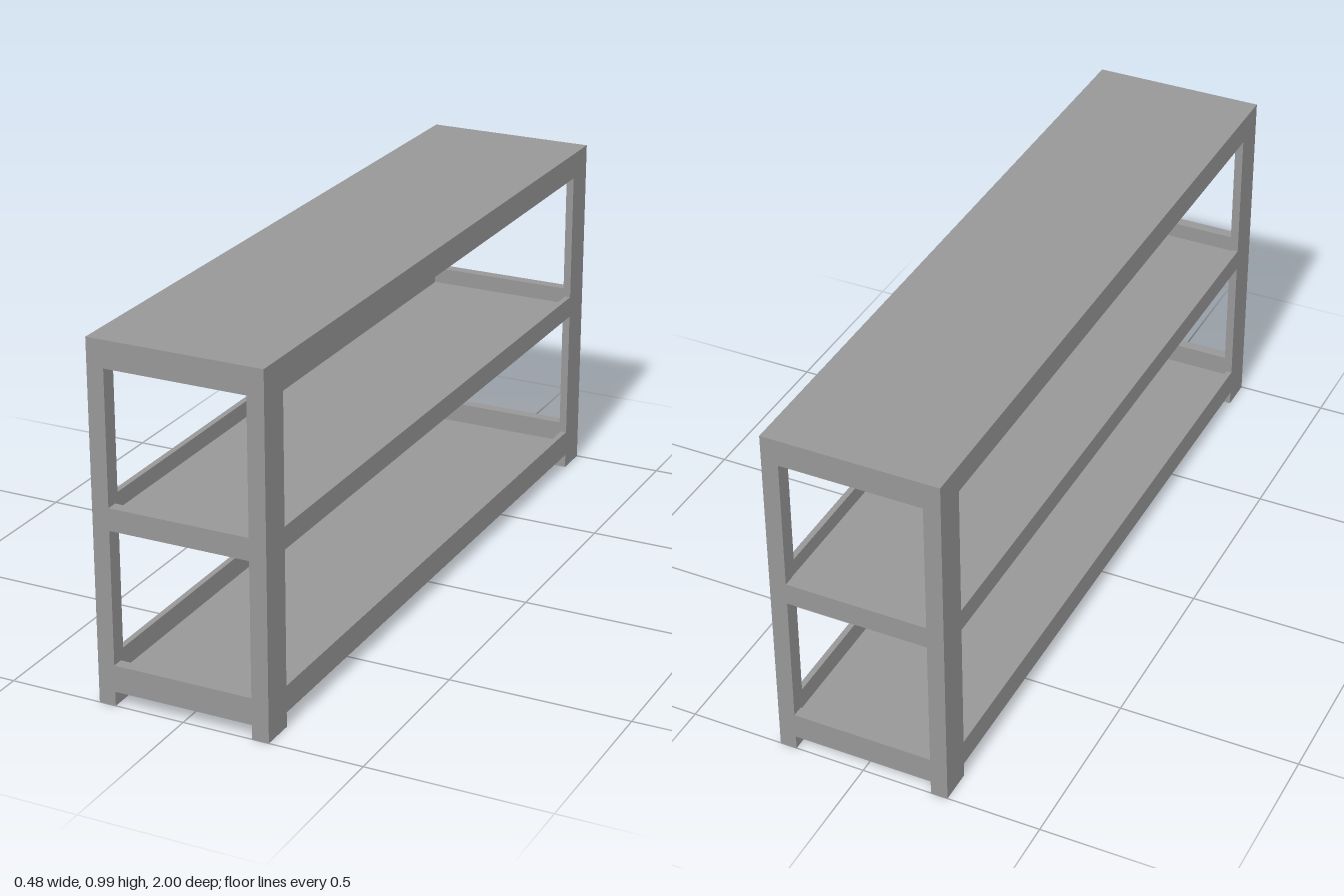
import * as THREE from 'three';

const W = 0.484, L = 2, H = 0.987;     // overall width (x), length (z), height
const PX = 0.047, PZ = 0.095;          // post size in x and z
const TX = 0.016, TZ = 0.032;          // wall thickness of long sides and ends
const FLOOR = 0.015;                   // shelf board thickness
const FOOT = 0.04;

export function createModel() {
  const group = new THREE.Group();
  group.name = 'shelfUnit';
  const material = new THREE.MeshStandardMaterial({ color: 0x979797 });

  const box = (name, x, y, z, w, h, d, parent = group) => {
    const mesh = new THREE.Mesh(new THREE.BoxGeometry(w, h, d), material);
    mesh.name = name;
    mesh.position.set(x, y, z);
    parent.add(mesh);
  };

  // Corner posts: solid feet below, L-shaped angle section above
  const section = [[0, 0], [PX, 0], [PX, TZ], [TX, TZ], [TX, PZ], [0, PZ]];
  for (const sx of [-1, 1]) {
    for (const sz of [-1, 1]) {
      const name = (sz > 0 ? 'front' : 'back') + (sx > 0 ? 'Left' : 'Right');
      box(name + 'Foot', sx * (W - PX) / 2, FOOT / 2, sz * (L - PZ) / 2, PX, FOOT, PZ);
      const shape = new THREE.Shape(section.map(
        ([x, z]) => new THREE.Vector2(sx * (W / 2 - x), -sz * (L / 2 - z))));
      const geometry = new THREE.ExtrudeGeometry(shape, { depth: H - FOOT, bevelEnabled: false });
      geometry.rotateX(-Math.PI / 2);
      geometry.translate(0, FOOT, 0);
      const post = new THREE.Mesh(geometry, material);
      post.name = name + 'Post';
      group.add(post);
    }
  }

  // Tray shelves: thin board with an upstanding rail on all four sides
  const tray = (name, y0, y1) => {
    const shelf = new THREE.Group();
    shelf.name = name;
    group.add(shelf);
    const h = y1 - y0, y = (y0 + y1) / 2;
    box('board', 0, y0 + FLOOR / 2, 0, W - 2 * TX, FLOOR, L - 2 * TZ, shelf);
    for (const s of [-1, 1]) {
      box('sideRail', s * (W - TX) / 2, y, 0, TX, h, L - 2 * TZ, shelf);
      box('endRail', 0, y, s * (L - TZ) / 2, W, h, TZ, shelf);
    }
  };
  tray('bottomShelf', FOOT, 0.114);
  tray('middleShelf', 0.485, 0.546);

  // Closed top slab
  box('top', 0, (0.913 + H) / 2, 0, W, H - 0.913, L);

  return group;
}
